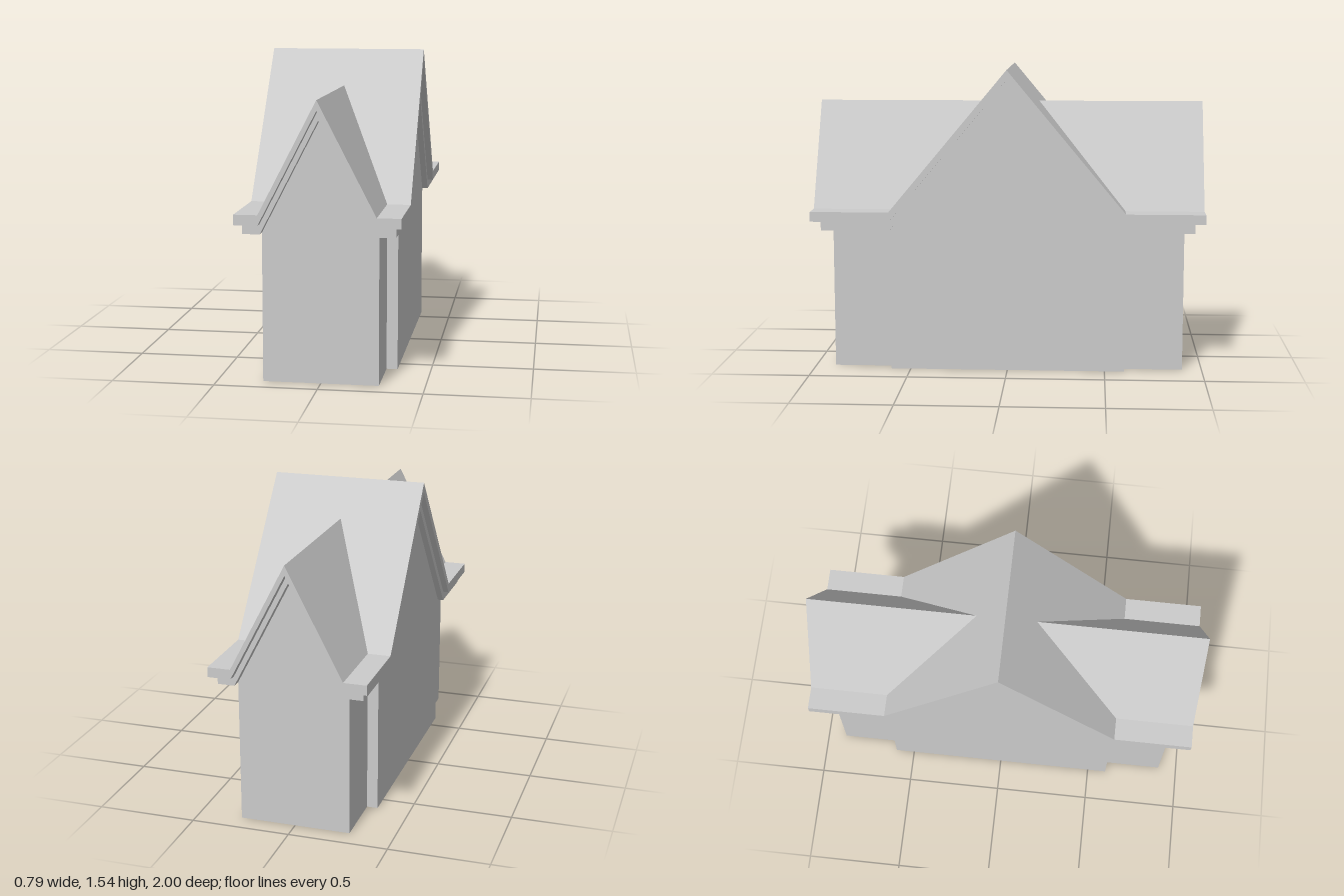
import * as THREE from 'three';

const EAVE = 0.725;  // top of the walls
const STEP = 0.05;   // thickness of each roof layer

// The two crossing gabled wings: half width, gable rise, half length of wall, trim and roof
const wings = [
  { name: 'long', half: 0.28, rise: 0.54, lengths: [0.9, 0.95, 1.0], turn: 0 },
  { name: 'cross', half: 0.6, rise: 0.72, lengths: [0.335, 0.365, 0.395], turn: Math.PI / 2 },
];
const layers = ['trim', 'roof'];

export function createModel() {
  const group = new THREE.Group();
  const material = new THREE.MeshStandardMaterial({ color: 0xcccccc, flatShading: true });

  const add = (name, geometry) => {
    const mesh = new THREE.Mesh(geometry, material);
    mesh.name = name;
    group.add(mesh);
    return mesh;
  };

  // Extrude a profile equally to both sides, then turn it onto its axis
  const prism = (points, halfLength, turn) => {
    const shape = new THREE.Shape(points.map(([x, y]) => new THREE.Vector2(x, y)));
    return new THREE.ExtrudeGeometry(shape, { depth: 2 * halfLength, bevelEnabled: false })
      .translate(0, 0, -halfLength)
      .rotateY(turn);
  };

  for (const { name, half, rise, lengths, turn } of wings) {
    // Gabled wall block
    add(name + 'WingWalls', prism(
      [[-half, 0], [half, 0], [half, EAVE], [0, EAVE + rise], [-half, EAVE]], lengths[0], turn));

    // Stepped trim and roof slabs following the gable
    layers.forEach((layer, i) => {
      const y = EAVE + i * STEP;
      add(name + 'Wing' + (i ? 'Roof' : 'Trim'), prism([
        [-half, y], [0, y + rise], [half, y],
        [half, y + STEP], [0, y + rise + STEP], [-half, y + STEP],
      ], lengths[i + 1], turn));
    });
  }

  // Flat eaves filling the four inner corners between the wings
  const [long, cross] = wings;
  layers.forEach((layer, i) => {
    const w = cross.lengths[i + 1] - long.half;
    const d = long.lengths[i + 1] - cross.half;
    for (const sx of [-1, 1]) {
      for (const sz of [-1, 1]) {
        add(layer + 'CornerEave', new THREE.BoxGeometry(w, STEP, d)).position.set(
          sx * (long.half + w / 2), EAVE + (i + 0.5) * STEP, sz * (cross.half + d / 2));
      }
    }
  });

  return group;
}
